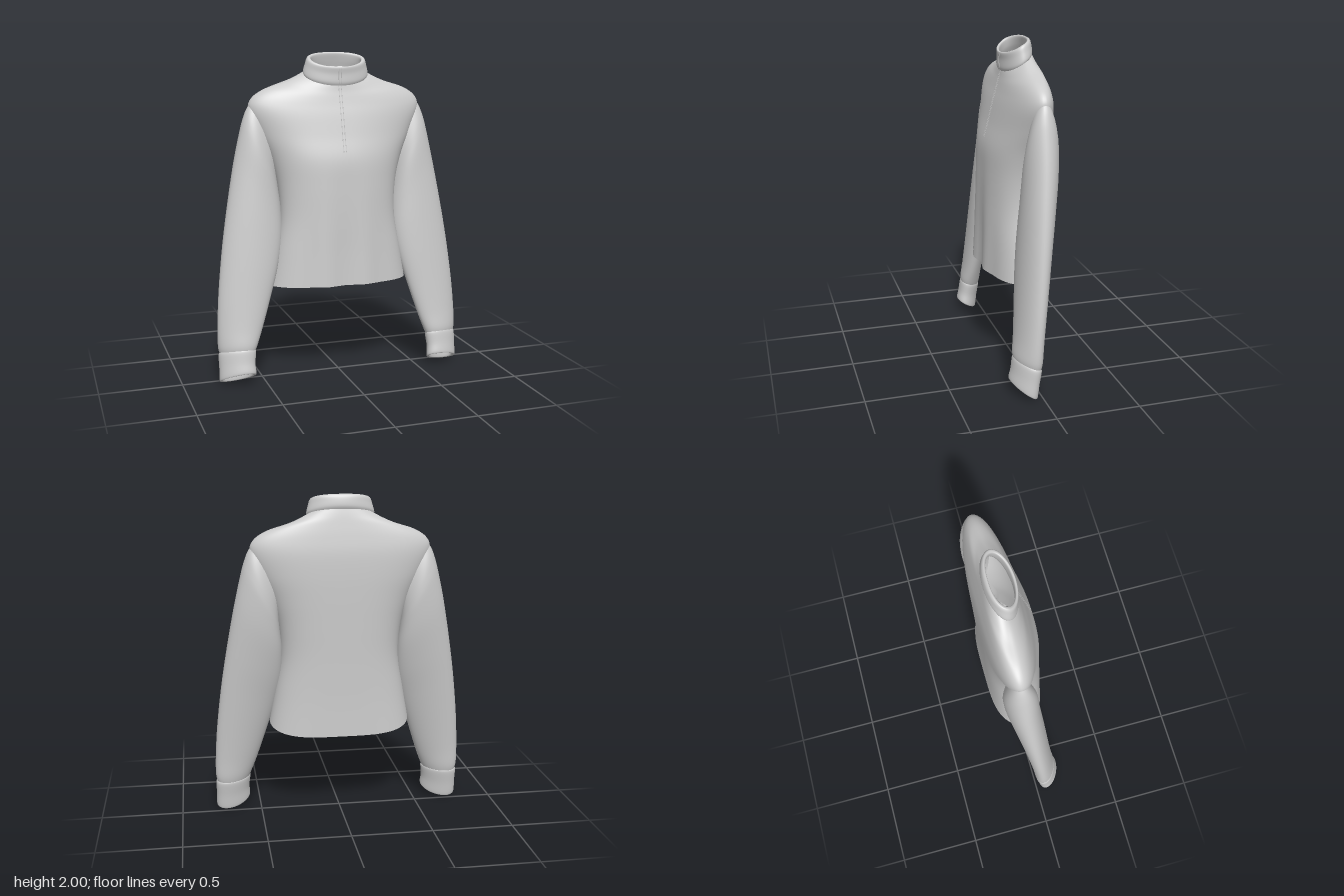
import * as THREE from 'three';

const material = new THREE.MeshStandardMaterial({ color: 0xcccccc, side: THREE.DoubleSide, roughness: 0.9 });

// Smoothly interpolates a list of key rows at t in 0..1
function sampleKeys(keys, t) {
  const f = Math.min(t, 1) * (keys.length - 1);
  const i = Math.min(Math.floor(f), keys.length - 2), u = f - i;
  const k = n => keys[Math.max(0, Math.min(keys.length - 1, n))];
  return keys[i].map((b, c) => {
    const a = k(i - 1)[c], d = k(i + 1)[c], e = k(i + 2)[c];
    return b + 0.5 * u * (d - a + u * (2 * a - 5 * b + 4 * d - e + u * (3 * (b - d) + e - a)));
  });
}

// Skins closed rings; point(row, angle) returns [x, y, z]
function loft(name, keys, point, sub = 6, seg = 72) {
  const rows = (keys.length - 1) * sub, pos = [], index = [];
  for (let i = 0; i <= rows; i++) {
    const row = sampleKeys(keys, i / rows);
    for (let j = 0; j < seg; j++) pos.push(...point(row, (j / seg) * Math.PI * 2));
  }
  for (let i = 0; i < rows; i++) {
    for (let j = 0; j < seg; j++) {
      const a = i * seg + j, b = i * seg + (j + 1) % seg;
      index.push(a, a + seg, b, b, a + seg, b + seg);
    }
  }
  const geo = new THREE.BufferGeometry();
  geo.setAttribute('position', new THREE.Float32BufferAttribute(pos, 3));
  geo.setIndex(index);
  geo.computeVertexNormals();
  const mesh = new THREE.Mesh(geo, material);
  mesh.name = name;
  return mesh;
}

const pow = (v, e) => Math.sign(v) * Math.pow(Math.abs(v), e);

// Torso ring: half width, side y, side z, front y, front z, back y, back z,
// front/back squareness, height blend power, ripple of the front
function torsoPoint([w, ys, zs, yf, zf, yb, zb, ef, eb, p, ripple], a) {
  const s = Math.sin(a), front = s > 0;
  const x = w * pow(Math.cos(a), front ? ef : eb);
  const y = ys + ((front ? yf : yb) - ys) * Math.pow(Math.abs(s), p);
  let z = zs + ((front ? zf : zb) - zs) * Math.abs(s);
  if (front) z -= ripple * s * Math.cos((x * Math.PI) / 0.13) * Math.exp(-x * x * 20);
  return [x, y, z];
}

const torsoKeys = [
  [0.44, 0.588, 0.00, 0.59, 0.177, 0.517, -0.17, 0.8, 0.55, 1, 0.014],
  [0.405, 0.78, 0.00, 0.79, 0.170, 0.75, -0.168, 0.8, 0.6, 1.5, 0.010],
  [0.37, 1.00, -0.01, 1.00, 0.166, 1.00, -0.172, 0.8, 0.62, 2, 0.005],
  [0.38, 1.20, -0.03, 1.20, 0.160, 1.20, -0.178, 0.8, 0.6, 2, 0.002],
  [0.425, 1.37, -0.05, 1.36, 0.150, 1.37, -0.183, 0.85, 0.58, 2, 0],
  [0.495, 1.52, -0.065, 1.50, 0.115, 1.52, -0.185, 0.85, 0.56, 2, 0],
  [0.545, 1.65, -0.068, 1.62, 0.086, 1.65, -0.181, 0.85, 0.58, 2, 0],
  [0.53, 1.725, -0.07, 1.69, 0.066, 1.75, -0.168, 0.85, 0.65, 2, 0],
  [0.45, 1.782, -0.068, 1.735, 0.054, 1.83, -0.154, 0.9, 0.8, 2, 0],
  [0.31, 1.827, -0.06, 1.77, 0.045, 1.88, -0.144, 0.95, 0.95, 1.6, 0],
  [0.20, 1.872, -0.05, 1.805, 0.038, 1.92, -0.134, 1, 1, 1, 0],
];

// Stand collar: up the outside, over the rim and down the inside
const collarKeys = [
  [0.198, 1.862, -0.05, 1.80, 0.038, 1.91, -0.134, 1, 1, 1, 0],
  [0.206, 1.882, -0.05, 1.822, 0.045, 1.932, -0.141, 1, 1, 1, 0],
  [0.195, 1.927, -0.045, 1.87, 0.043, 1.966, -0.137, 1, 0.95, 1, 0],
  [0.186, 1.957, -0.042, 1.905, 0.046, 1.99, -0.129, 1, 0.85, 1, 0],
  [0.174, 1.968, -0.042, 1.914, 0.041, 2.00, -0.116, 1, 0.8, 1, 0],
  [0.160, 1.958, -0.042, 1.905, 0.030, 1.99, -0.108, 1, 0.85, 1, 0],
  [0.168, 1.91, -0.045, 1.85, 0.026, 1.95, -0.116, 1, 0.95, 1, 0],
  [0.185, 1.872, -0.05, 1.81, 0.030, 1.915, -0.125, 1, 1, 1, 0],
];

// Sleeve ring: outer x, y, inner x, y, centre z, half depth, inward-forward twist, hem slant
function sleevePoint(side) {
  return ([ox, oy, ix, iy, z, rz, twist, slant], a) => {
    const c = Math.cos(a), s = -Math.sin(a) * side;
    return [
      side * ((ox + ix) / 2 + ((ox - ix) / 2) * c),
      (oy + iy) / 2 + ((oy - iy) / 2) * c + slant * s,
      z + rz * s - twist * c,
    ];
  };
}

const sleeveKeys = [
  [0.515, 1.725, 0.37, 1.42, -0.068, 0.05, 0, 0],
  [0.554, 1.672, 0.38, 1.33, -0.067, 0.076, 0, 0],
  [0.580, 1.61, 0.38, 1.25, -0.064, 0.092, 0, 0],
  [0.605, 1.52, 0.372, 1.17, -0.058, 0.10, 0.004, 0],
  [0.648, 1.33, 0.36, 1.04, -0.045, 0.10, 0.01, 0],
  [0.697, 1.07, 0.365, 0.88, -0.018, 0.093, 0.015, 0],
  [0.737, 0.82, 0.40, 0.71, 0.01, 0.083, 0.02, 0],
  [0.768, 0.56, 0.46, 0.51, 0.037, 0.074, 0.022, 0],
  [0.782, 0.36, 0.515, 0.34, 0.058, 0.068, 0.025, 0.01],
  [0.784, 0.24, 0.55, 0.245, 0.07, 0.068, 0.028, 0.016],
  [0.775, 0.19, 0.567, 0.205, 0.075, 0.062, 0.028, 0.02],
];

// Cuff: down the outside and back up a short way inside
const cuffKeys = [
  [0.776, 0.20, 0.568, 0.215, 0.074, 0.062, 0.028, 0.02],
  [0.783, 0.18, 0.562, 0.20, 0.076, 0.067, 0.028, 0.02],
  [0.782, 0.11, 0.57, 0.13, 0.087, 0.065, 0.028, 0.028],
  [0.783, 0.035, 0.566, 0.07, 0.098, 0.066, 0.028, 0.038],
  [0.775, 0.027, 0.575, 0.062, 0.098, 0.058, 0.026, 0.036],
  [0.762, 0.05, 0.588, 0.075, 0.094, 0.048, 0.026, 0.034],
  [0.755, 0.17, 0.59, 0.19, 0.078, 0.045, 0.026, 0.02],
];

export function createModel() {
  const group = new THREE.Group();
  group.name = 'pullover';
  group.add(loft('torso', torsoKeys, torsoPoint), loft('collar', collarKeys, torsoPoint));

  for (const [side, label] of [[1, 'left'], [-1, 'right']]) {
    group.add(
      loft(label + 'Sleeve', sleeveKeys, sleevePoint(side), 6, 48),
      loft(label + 'Cuff', cuffKeys, sleevePoint(side), 4, 48),
    );
  }

  // Fine zip edges follow the centre front from the chest to the collar rim
  const path = [];
  for (let i = 0; i <= 12; i++) path.push(torsoPoint(sampleKeys(torsoKeys, 0.43 + 0.55 * (i / 12)), Math.PI / 2));
  for (const key of collarKeys.slice(1, 4)) path.push(torsoPoint(key, Math.PI / 2));
  for (const x of [-0.008, 0.008]) {
    const curve = new THREE.CatmullRomCurve3(path.map(p => new THREE.Vector3(x, p[1], p[2] - 0.001)));
    const edge = new THREE.Mesh(new THREE.TubeGeometry(curve, 60, 0.0025, 6), material);
    edge.name = 'zipEdge';
    group.add(edge);
  }
  return group;
}
